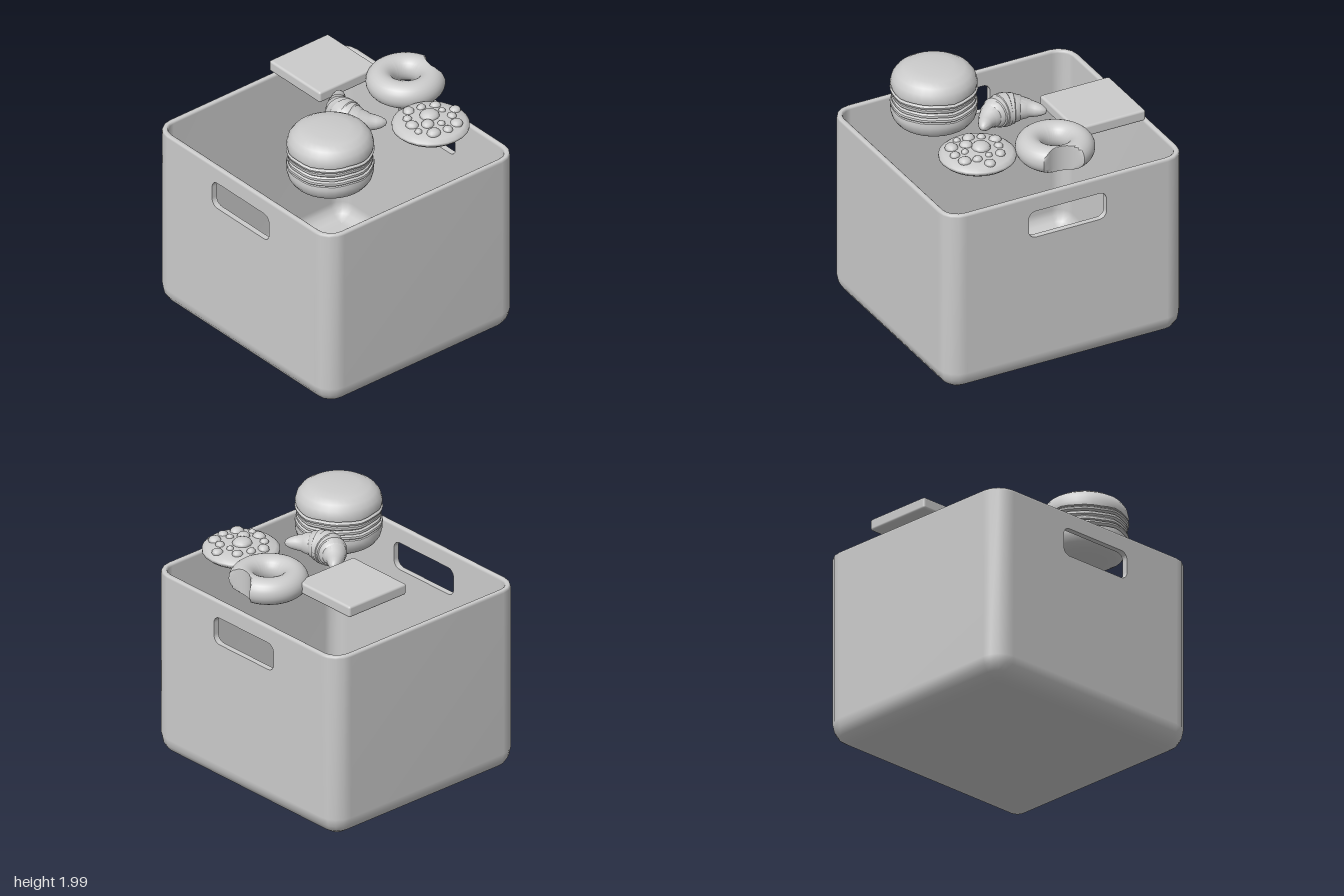
import * as THREE from 'three';
import { toCreasedNormals } from 'three/addons/utils/BufferGeometryUtils.js';
import { RoundedBoxGeometry } from 'three/addons/geometries/RoundedBoxGeometry.js';

const material = new THREE.MeshStandardMaterial({ color: 0xcccccc });

function part(name, geometry, x = 0, y = 0, z = 0) {
  const mesh = new THREE.Mesh(geometry, material);
  mesh.name = name;
  mesh.position.set(x, y, z);
  return mesh;
}

// Skin over closed rings of points; skip(ring, point) leaves a quad out
function loft(rings, skip = () => false) {
  const n = rings[0].length;
  const all = [], kept = [];
  for (let j = 0; j < rings.length - 1; j++) {
    for (let i = 0; i < n; i++) {
      const k = (i + 1) % n;
      const a = j * n + i, b = j * n + k, c = a + n, d = b + n;
      all.push(a, c, b, b, c, d);
      if (!skip(j, i)) kept.push(a, c, b, b, c, d);
    }
  }
  const geo = new THREE.BufferGeometry();
  geo.setAttribute('position', new THREE.Float32BufferAttribute(rings.flat(2), 3));
  geo.setIndex(all);
  geo.computeVertexNormals();
  geo.setIndex(kept);
  return geo;
}

// Storage bin: rounded shell, with the front and back panels carrying handle slots
function makeBin() {
  const HX = 1, HZ = 0.915, R = 0.16, WALL = 0.045, TOP = 1.49, SEG = 4;
  const bin = new THREE.Group();
  bin.name = 'storageBin';

  const ring = (inset, y) => {
    const pts = [];
    const r = Math.max(R - inset, 0);
    for (let c = 0; c < 4; c++) {
      const sx = c === 0 || c === 3 ? 1 : -1, sz = c < 2 ? 1 : -1;
      for (let s = 0; s <= SEG; s++) {
        const a = (c + s / SEG) * Math.PI / 2;
        pts.push([sx * (HX - inset - r) + r * Math.cos(a), y, sz * (HZ - inset - r) + r * Math.sin(a)]);
      }
    }
    return pts;
  };
  const centre = y => ring(0, y).map(() => [0, y, 0]);

  const rings = [centre(0)];
  for (let i = 0; i <= SEG; i++) {
    const a = i / SEG * Math.PI / 2;
    rings.push(ring(R * (1 - Math.sin(a)), R * (1 - Math.cos(a))));
  }
  const outerWall = rings.length - 1;
  const rim = [[0, TOP], [0.004, 1.504], [0.012, 1.51], [0.033, 1.51], [0.041, 1.504], [WALL, TOP]];
  rim.forEach(([d, y]) => rings.push(ring(d, y)));
  const innerWall = rings.length - 1;
  const ri = R - WALL;
  for (let i = 0; i <= SEG; i++) {
    const a = i / SEG * Math.PI / 2;
    rings.push(ring(WALL + ri * (1 - Math.cos(a)), WALL + ri * (1 - Math.sin(a))));
  }
  rings.push(centre(WALL));
  const slotted = i => i === SEG || i === 3 * SEG + 2;
  bin.add(part('binShell', loft(rings, (j, i) => (j === outerWall || j === innerWall) && slotted(i))));

  // Panels with a rounded slot
  const w = HX - R;
  const panel = new THREE.Shape([[-w, R], [w, R], [w, TOP], [-w, TOP]].map(p => new THREE.Vector2(...p)));
  const slot = new THREE.Path();
  const x = 0.325, y0 = 1.16, y1 = 1.38, r = 0.06;
  slot.absarc(x - r, y1 - r, r, 0, Math.PI / 2);
  slot.absarc(-x + r, y1 - r, r, Math.PI / 2, Math.PI);
  slot.absarc(-x + r, y0 + r, r, Math.PI, Math.PI * 1.5);
  slot.absarc(x - r, y0 + r, r, Math.PI * 1.5, Math.PI * 2);
  panel.holes.push(slot);
  const panelGeo = new THREE.ExtrudeGeometry(panel, { depth: WALL, bevelEnabled: false, curveSegments: 4 });
  bin.add(part('frontPanel', panelGeo, 0, 0, HZ - WALL), part('backPanel', panelGeo, 0, 0, -HZ));
  bin.position.z = 0.025;
  return bin;
}

// Macaron: mirrored half profile with ruffled edges
function makeMacaron() {
  const half = [[0.3, 0], [0.314, 0.012], [0.314, 0.03], [0.3, 0.038], [0.322, 0.046], [0.325, 0.06],
    [0.318, 0.068], [0.3, 0.072], [0.318, 0.08], [0.323, 0.11], [0.31, 0.16], [0.28, 0.2],
    [0.23, 0.23], [0.15, 0.243], [0, 0.246]];
  const profile = [...half.slice(1).reverse().map(([r, h]) => [r, -h]), ...half];
  const geo = new THREE.LatheGeometry(profile.map(p => new THREE.Vector2(...p)), 32);
  const pos = geo.attributes.position;
  for (let i = 0; i < pos.count; i++) {
    const y = pos.getY(i);
    if (Math.abs(y) < 0.085) {
      const a = Math.atan2(pos.getZ(i), pos.getX(i));
      pos.setY(i, y + 0.004 * Math.sin(5 * a) + 0.003 * Math.sin(9 * a));
    }
  }
  return part('macaron', toCreasedNormals(geo, 0.8), 0.405, 1.745, 0.42);
}

// Doughnut: torus whose rim is pulled in to a round bite
function makeDoughnut() {
  const geo = new THREE.TorusGeometry(0.1925, 0.1025, 24, 96).rotateX(Math.PI / 2);
  const pos = geo.attributes.position;
  const bx = 0.08, bz = -0.365, br = 0.19;
  for (let i = 0; i < pos.count; i++) {
    const x = pos.getX(i), z = pos.getZ(i), r = Math.hypot(x, z);
    const along = (x * bx + z * bz) / r;
    const disc = along * along - (bx * bx + bz * bz - br * br);
    if (along <= 0 || disc <= 0) continue;
    const cut = along - Math.sqrt(disc);
    if (r > cut) {
      pos.setX(i, x * cut / r);
      pos.setZ(i, z * cut / r);
    }
  }
  return part('bittenDoughnut', toCreasedNormals(geo, 0.7), -0.02, 1.735, -0.66);
}

// Cookie with chips scattered on top
function makeCookie() {
  const cookie = new THREE.Group();
  cookie.name = 'cookie';
  const profile = [[0, 1.655], [0.2, 1.655], [0.26, 1.67], [0.288, 1.695], [0.288, 1.715],
    [0.26, 1.738], [0.2, 1.752], [0.1, 1.763], [0, 1.767]];
  cookie.add(part('cookieBase', new THREE.LatheGeometry(profile.map(p => new THREE.Vector2(...p)), 24), 0.515, 0, -0.45));
  const chips = [[0.53, -0.67, 0.042], [0.4, -0.59, 0.042], [0.49, -0.58, 0.026], [0.59, -0.59, 0.038],
    [0.68, -0.56, 0.048], [0.36, -0.49, 0.037], [0.49, -0.46, 0.072], [0.625, -0.46, 0.03],
    [0.705, -0.455, 0.037], [0.335, -0.39, 0.048], [0.57, -0.375, 0.048], [0.675, -0.345, 0.055],
    [0.41, -0.315, 0.033], [0.5, -0.285, 0.05], [0.59, -0.27, 0.028]];
  const chipGeo = new THREE.SphereGeometry(1, 12, 8);
  chips.forEach(([x, z, r], i) => {
    const edge = Math.hypot(x - 0.515, z + 0.45);
    const chip = part('chip', chipGeo, x, 1.767 - 0.4 * edge * edge, z);
    chip.scale.set(r, 0.012 + 0.42 * r, r * (i % 2 ? 0.9 : 1.05));
    chip.rotation.y = i;
    cookie.add(chip);
  });
  return cookie;
}

// Croissant: stepped rolls along a curved spine
function makeCroissant() {
  const half = [[0, 0.128], [0.03, 0.127], [0.036, 0.12], [0.075, 0.118], [0.082, 0.108], [0.12, 0.097],
    [0.126, 0.088], [0.17, 0.073], [0.176, 0.066], [0.215, 0.054], [0.24, 0.042], [0.26, 0.022], [0.266, 0]];
  const steps = [...half.slice(1).reverse().map(([d, r]) => [-d, r]), ...half];
  const rings = steps.map(([d, r]) => {
    const slope = 5 * d, len = Math.hypot(slope, 1);
    return Array.from({ length: 20 }, (_, i) => {
      const a = i / 20 * Math.PI * 2, out = r * Math.cos(a);
      return [d + out * slope / len, r * Math.sin(a), -2.5 * d * d + out / len];
    });
  });
  return part('croissant', toCreasedNormals(loft(rings), 0.7), 0.06, 1.737, -0.014);
}

export function createModel() {
  const model = new THREE.Group();
  model.name = 'binOfSweets';
  model.add(makeBin(), makeMacaron(), makeDoughnut(), makeCookie(), makeCroissant());
  // Flat square biscuit
  model.add(part('squareBiscuit', new RoundedBoxGeometry(0.58, 0.09, 0.565, 3, 0.018), -0.53, 1.735, -0.303));
  return model;
}
